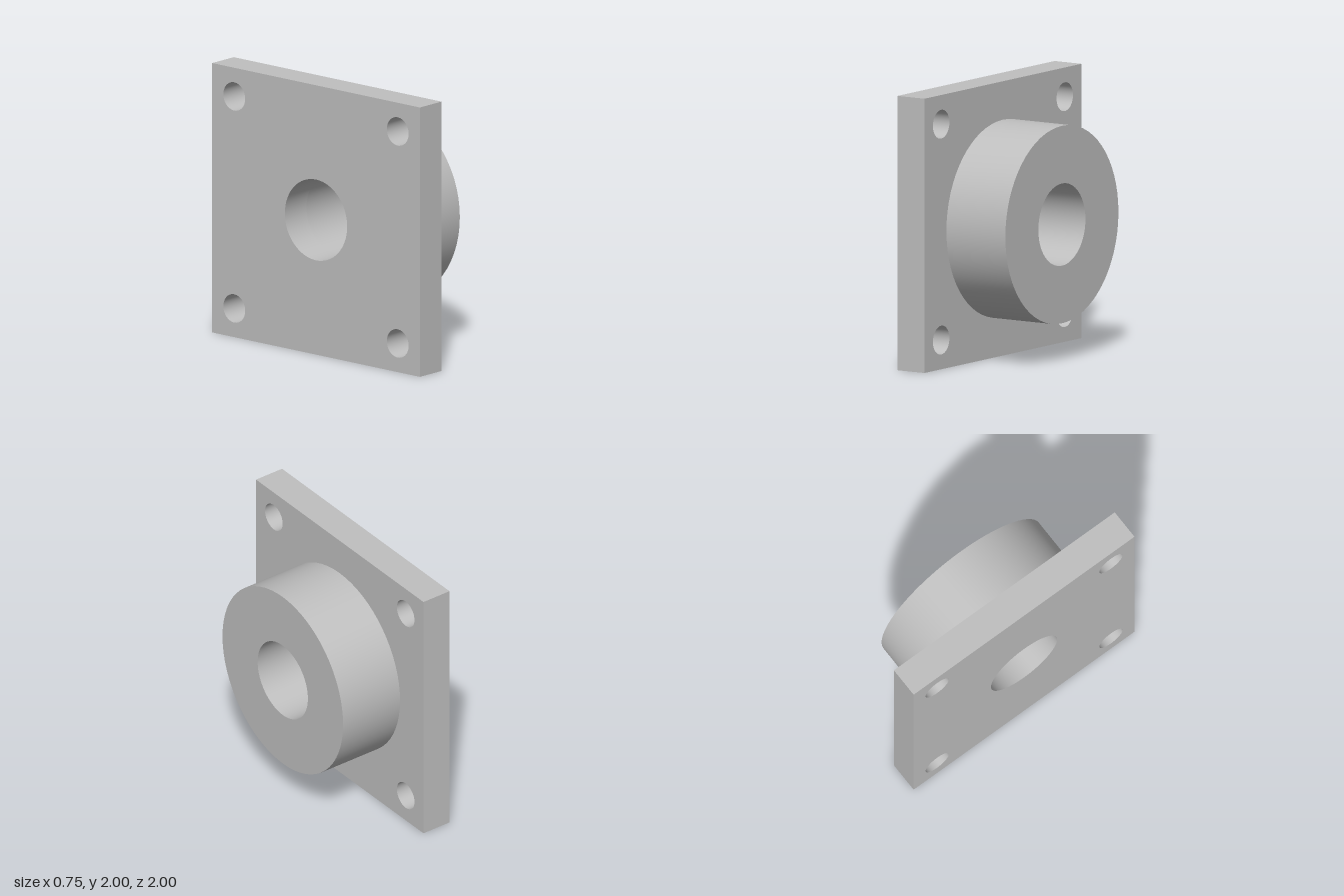
import * as THREE from 'three';
import { toCreasedNormals } from 'three/addons/utils/BufferGeometryUtils.js';

const BACK = -0.375, STEP = -0.14, FRONT = 0.375; // stations along x
const BORE = 0.3, BOSS = 0.72, BOLT = 0.105, BOLT_POS = 0.787;

function addHole(shape, x, y, r) {
  const hole = new THREE.Path();
  hole.absarc(x, y, r, 0, Math.PI * 2, true);
  shape.holes.push(hole);
}

// Extrude a profile along x between two stations
function extrudeX(shape, x0, x1) {
  const geo = new THREE.ExtrudeGeometry(shape, { depth: x1 - x0, bevelEnabled: false, curveSegments: 32 });
  geo.rotateY(Math.PI / 2);
  geo.translate(x0, 1, 0);
  return toCreasedNormals(geo, Math.PI / 6);
}

export function createModel() {
  const group = new THREE.Group();
  group.name = 'flangedBushing';
  const steel = new THREE.MeshStandardMaterial({ color: 0xbfbfbf });
  steel.name = 'grey steel';

  // Square mounting plate with central bore and four bolt holes
  const plate = new THREE.Shape();
  plate.moveTo(-1, -1);
  plate.lineTo(1, -1);
  plate.lineTo(1, 1);
  plate.lineTo(-1, 1);
  plate.closePath();
  addHole(plate, 0, 0, BORE);
  for (const sx of [-1, 1]) {
    for (const sy of [-1, 1]) addHole(plate, sx * BOLT_POS, sy * BOLT_POS, BOLT);
  }
  const plateMesh = new THREE.Mesh(extrudeX(plate, BACK, STEP), steel);
  plateMesh.name = 'mountingPlate';

  // Round boss continuing the bore
  const boss = new THREE.Shape();
  boss.absarc(0, 0, BOSS, 0, Math.PI * 2, false);
  addHole(boss, 0, 0, BORE);
  const bossMesh = new THREE.Mesh(extrudeX(boss, STEP, FRONT), steel);
  bossMesh.name = 'boss';

  group.add(plateMesh, bossMesh);
  return group;
}
